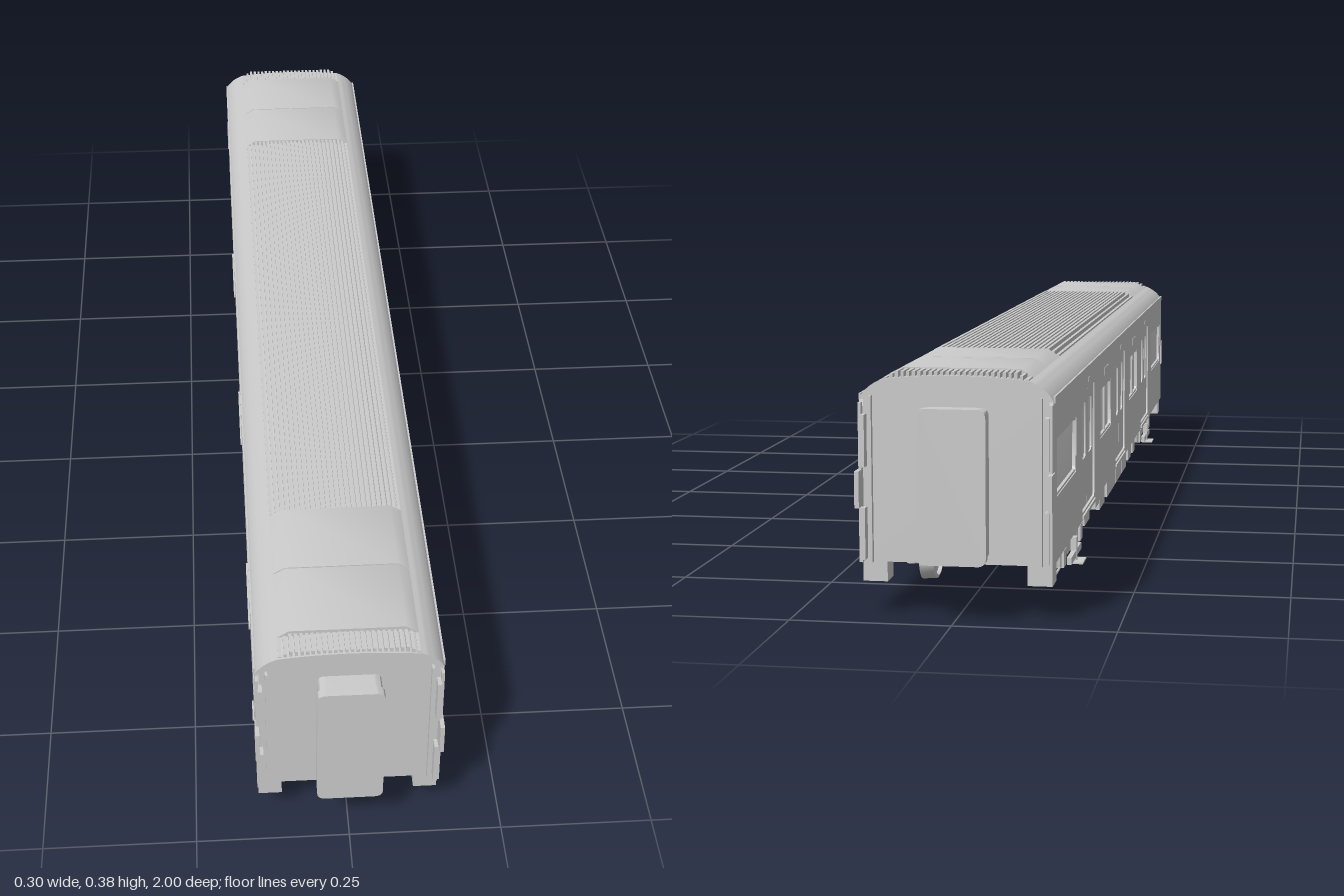
import * as THREE from 'three';
import { toCreasedNormals } from 'three/addons/utils/BufferGeometryUtils.js';

const grey = new THREE.MeshStandardMaterial({ color: 0xcccccc });

function add(parent, name, geometry, x = 0, y = 0, z = 0) {
  const m = new THREE.Mesh(geometry, grey);
  m.name = name;
  m.position.set(x, y, z);
  parent.add(m);
  return m;
}

// Box given by its limits on each axis
function block(parent, name, x0, x1, y0, y1, z0, z1) {
  return add(parent, name, new THREE.BoxGeometry(x1 - x0, y1 - y0, z1 - z0),
    (x0 + x1) / 2, (y0 + y1) / 2, (z0 + z1) / 2);
}

// Rounded rectangle, used both for outlines and holes
function roundRect(x0, x1, y0, y1, r, Type = THREE.Shape) {
  const s = new Type();
  s.moveTo(x0 + r, y0);
  s.lineTo(x1 - r, y0);
  s.quadraticCurveTo(x1, y0, x1, y0 + r);
  s.lineTo(x1, y1 - r);
  s.quadraticCurveTo(x1, y1, x1 - r, y1);
  s.lineTo(x0 + r, y1);
  s.quadraticCurveTo(x0, y1, x0, y1 - r);
  s.lineTo(x0, y0 + r);
  s.quadraticCurveTo(x0, y0, x0 + r, y0);
  return s;
}

function extrude(shape, depth) {
  const g = new THREE.ExtrudeGeometry(shape, { depth, bevelEnabled: false, curveSegments: 8 });
  return toCreasedNormals(g, 0.6);
}

// Shape drawn in (z, y), thickened outward along +x from x0
function sidePanel(parent, name, shape, x0, depth) {
  const g = extrude(shape, depth);
  g.rotateY(Math.PI / 2); // shape x becomes -z, depth becomes +x
  return add(parent, name, g, x0, 0, 0);
}

function addBody(car) {
  const s = new THREE.Shape();
  s.moveTo(-0.142, 0.085);
  s.lineTo(0.142, 0.085);
  s.lineTo(0.142, 0.334);
  s.lineTo(0.149, 0.334);
  s.quadraticCurveTo(0.138, 0.355, 0.112, 0.365);
  s.quadraticCurveTo(0, 0.378, -0.112, 0.365);
  s.quadraticCurveTo(-0.138, 0.355, -0.149, 0.334);
  s.lineTo(-0.142, 0.334);
  add(car, 'bodyShell', extrude(s, 1.91), 0, 0, -0.955);
  for (const side of [-1, 1]) {
    block(car, 'gutter', side * 0.1485 - 0.0015, side * 0.1485 + 0.0015, 0.332, 0.342, -0.95, 0.95);
  }
}

function addRoof(car) {
  // Raised panels at both ends, ribbed cover in the middle
  const cap = new THREE.Shape();
  cap.moveTo(-0.113, 0.364);
  cap.lineTo(0.113, 0.364);
  cap.lineTo(0.092, 0.378);
  cap.lineTo(-0.092, 0.378);
  for (const z of [-0.91, 0.765, 0.62, -0.765]) add(car, 'roofPanel', extrude(cap, 0.143), 0, 0, z);
  const count = 26;
  for (let i = 0; i < count; i++) {
    const x = -0.108 + (0.216 * i) / (count - 1);
    const top = Math.min(0.378, 0.378 - (Math.abs(x) - 0.092) * 0.6);
    block(car, 'roofRib', x - 0.0025, x + 0.0025, 0.36, top, -0.62, 0.62);
    for (const e of [-1, 1]) {
      block(car, 'endLouvre', x - 0.0025, x + 0.0025, 0.36, top - 0.001, e * 0.932 - 0.02, e * 0.932 + 0.02);
    }
  }
}

function addSide(car) {
  const side = new THREE.Group();
  side.name = 'sideWall';
  const doors = [-0.522, 0, 0.522];
  const windows = [[-0.92, -0.69], [-0.345, -0.175], [0.175, 0.345], [0.69, 0.92]];
  const wall = roundRect(-0.955, 0.955, 0.085, 0.335, 0.001);
  for (const d of doors) wall.holes.push(roundRect(d - 0.084, d + 0.084, 0.098, 0.303, 0.008, THREE.Path));
  for (const [a, b] of windows) wall.holes.push(roundRect(a, b, 0.185, 0.278, 0.006, THREE.Path));
  sidePanel(side, 'wallPanel', wall, 0.141, 0.007);

  // Sliding door leaves with tall panes
  for (const d of doors) {
    for (const e of [-1, 1]) {
      const c = d + e * 0.0415;
      const leaf = roundRect(c - 0.0405, c + 0.0405, 0.1, 0.301, 0.004);
      leaf.holes.push(roundRect(c - 0.022, c + 0.022, 0.185, 0.282, 0.01, THREE.Path));
      sidePanel(side, 'doorLeaf', leaf, 0.141, 0.004);
    }
    block(side, 'doorStep', 0.14, 0.151, 0.088, 0.094, d - 0.084, d + 0.084);
    block(side, 'doorLamp', 0.147, 0.1495, 0.312, 0.32, d - 0.008, d + 0.008);
  }
  // Window frames, with a divider in the middle windows
  for (const [a, b] of windows) {
    const frame = roundRect(a + 0.001, b - 0.001, 0.186, 0.277, 0.006);
    frame.holes.push(roundRect(a + 0.005, b - 0.005, 0.19, 0.273, 0.005, THREE.Path));
    sidePanel(side, 'windowFrame', frame, 0.141, 0.006);
    if (b - a < 0.2) {
      const c = (a + b) / 2;
      block(side, 'windowDivider', 0.141, 0.146, 0.188, 0.275, c - 0.003, c + 0.003);
      block(side, 'destinationPanel', 0.147, 0.149, 0.295, 0.308, c - 0.035, c + 0.035);
    }
  }
  // Corner plates and end steps
  for (const e of [-1, 1]) {
    const zone = (name, x0, x1, y0, y1, a, b) =>
      block(side, name, x0, x1, y0, y1, Math.min(e * a, e * b), Math.max(e * a, e * b));
    zone('cornerPlate', 0.143, 0.148, 0.085, 0.33, 0.95, 0.965);
    zone('cornerPost', 0.128, 0.132, 0.085, 0.34, 0.95, 0.964);
    for (const [y0, y1] of [[0.09, 0.17], [0.232, 0.312]]) zone('cornerStrip', 0.137, 0.144, y0, y1, 0.95, 0.972);
    zone('cornerBracket', 0.143, 0.15, 0.172, 0.228, 0.95, 0.985);
    zone('endStep', 0.108, 0.146, 0.053, 0.086, 0.91, 0.95);
  }
  return side;
}

function addGangway(car, e) {
  const g = new THREE.Group();
  g.name = 'gangway';
  add(g, 'gangwayBellows', extrude(roundRect(-0.05, 0.05, 0.094, 0.324, 0.012), 0.035), 0, 0, 0.95);
  add(g, 'gangwayFace', extrude(roundRect(-0.053, 0.053, 0.091, 0.327, 0.014), 0.016), 0, 0, 0.984);
  g.rotation.y = e > 0 ? 0 : Math.PI;
  car.add(g);
}

function addEquipment(car) {
  // Underfloor cases as [z0, z1, bottom], one row per side
  const left = [[0.44, 0.54, 0.03], [0.31, 0.415, 0.03], [0.17, 0.295, 0.025], [0.03, 0.16, 0.025],
    [-0.08, 0.0, 0.04], [-0.2, -0.085, 0.025], [-0.35, -0.27, 0.03]];
  const right = [[0.44, 0.485, 0.03], [0.34, 0.4, 0.03], [0.2, 0.295, 0.025], [0.09, 0.19, 0.025],
    [-0.07, 0.08, 0.025], [-0.2, -0.12, 0.025], [-0.265, -0.205, 0.04], [-0.43, -0.355, 0.04]];
  for (const [a, b, y] of left) block(car, 'equipmentCase', 0.045, 0.13, y, 0.086, a, b);
  for (const [a, b, y] of right) block(car, 'equipmentCase', -0.13, -0.045, y, 0.086, a, b);
  block(car, 'centreBeam', -0.025, 0.025, 0.07, 0.086, -0.44, 0.54);
  // Bent wire footholds near one end
  for (const s of [-1, 1]) {
    const pts = [[0.085, -0.83], [0.055, -0.83], [0.055, -0.895], [0.085, -0.895]];
    const path = new THREE.CurvePath();
    for (let i = 0; i < 3; i++) {
      path.add(new THREE.LineCurve3(new THREE.Vector3(s * 0.14, ...pts[i]), new THREE.Vector3(s * 0.14, ...pts[i + 1])));
    }
    add(car, 'foothold', new THREE.TubeGeometry(path, 36, 0.002, 6));
  }
}

function addBogie(car, z) {
  const b = new THREE.Group();
  b.name = 'bogie';
  b.position.z = z;
  const profile = [[0, 0.009], [0.026, 0.009], [0.028, 0.005], [0.037, 0.005], [0.037, 0.013],
    [0.043, 0.013], [0.041, -0.011], [0.036, -0.013], [0.034, -0.007], [0.018, -0.007], [0, -0.009]];
  const wheel = toCreasedNormals(new THREE.LatheGeometry(
    profile.map(([r, y]) => new THREE.Vector2(r, -y)), 32), 0.6);
  const frame = new THREE.Shape();
  [[-0.135, 0.05], [-0.075, 0.05], [-0.05, 0.034], [0.05, 0.034], [0.075, 0.05], [0.135, 0.05],
    [0.135, 0.06], [0.07, 0.066], [0.045, 0.055], [-0.045, 0.055], [-0.07, 0.066], [-0.135, 0.06]]
    .forEach(([u, v], i) => (i ? frame.lineTo(u, v) : frame.moveTo(u, v)));

  for (const s of [-1, 1]) {
    sidePanel(b, 'sideFrame', frame, s * 0.119 - 0.008, 0.016);
    const [inner, outer] = [s * 0.122 - 0.009, s * 0.122 + 0.009];
    for (const e of [-1, 1]) {
      const a = e * 0.107;
      const w = add(b, 'wheel', wheel, s * 0.092, 0.043, a);
      w.rotation.z = s * Math.PI / 2;
      block(b, 'axleBox', inner, outer, 0.028, 0.056, a - 0.016, a + 0.016);
      for (const k of [-1, 1]) {
        add(b, 'axleSpring', new THREE.CylinderGeometry(0.008, 0.008, 0.026, 12), s * 0.12, 0.044, a + k * 0.025);
      }
      add(b, 'airSpring', new THREE.CylinderGeometry(0.016, 0.016, 0.034, 16), s * 0.112, 0.069, e * 0.022);
      block(b, 'brakeUnit', s * 0.092 - 0.01, s * 0.092 + 0.01, 0.03, 0.055, e * 0.052 - 0.008, e * 0.052 + 0.008);
    }
    // Lower beam with its projecting contact shoe
    block(b, 'lowerBeam', s * 0.132 - 0.004, s * 0.132 + 0.004, 0.02, 0.032, -0.065, 0.065);
    block(b, 'contactShoe', s * 0.138 - 0.012, s * 0.138 + 0.012, 0.012, 0.015, -0.022, 0.022);
    block(b, 'shoeHanger', s * 0.132 - 0.005, s * 0.132 + 0.005, 0.014, 0.055, -0.008, 0.008);
  }
  for (const e of [-1, 1]) {
    const axle = add(b, 'axle', new THREE.CylinderGeometry(0.008, 0.008, 0.24, 16), 0, 0.043, e * 0.107);
    axle.rotation.z = Math.PI / 2;
    block(b, 'motor', -0.05, 0.05, 0.025, 0.062, e * 0.065 - 0.022, e * 0.065 + 0.022);
  }
  block(b, 'bolster', -0.115, 0.115, 0.045, 0.07, -0.03, 0.03);
  add(b, 'pivot', new THREE.CylinderGeometry(0.025, 0.025, 0.03, 20), 0, 0.075, 0);
  car.add(b);
}

export function createModel() {
  const car = new THREE.Group();
  car.name = 'railCar';
  addBody(car);
  addRoof(car);
  for (const angle of [0, Math.PI]) {
    const side = addSide(car);
    side.rotation.y = angle;
    car.add(side);
  }
  addGangway(car, 1);
  addGangway(car, -1);
  addEquipment(car);
  addBogie(car, 0.73);
  addBogie(car, -0.59);
  return car;
}
